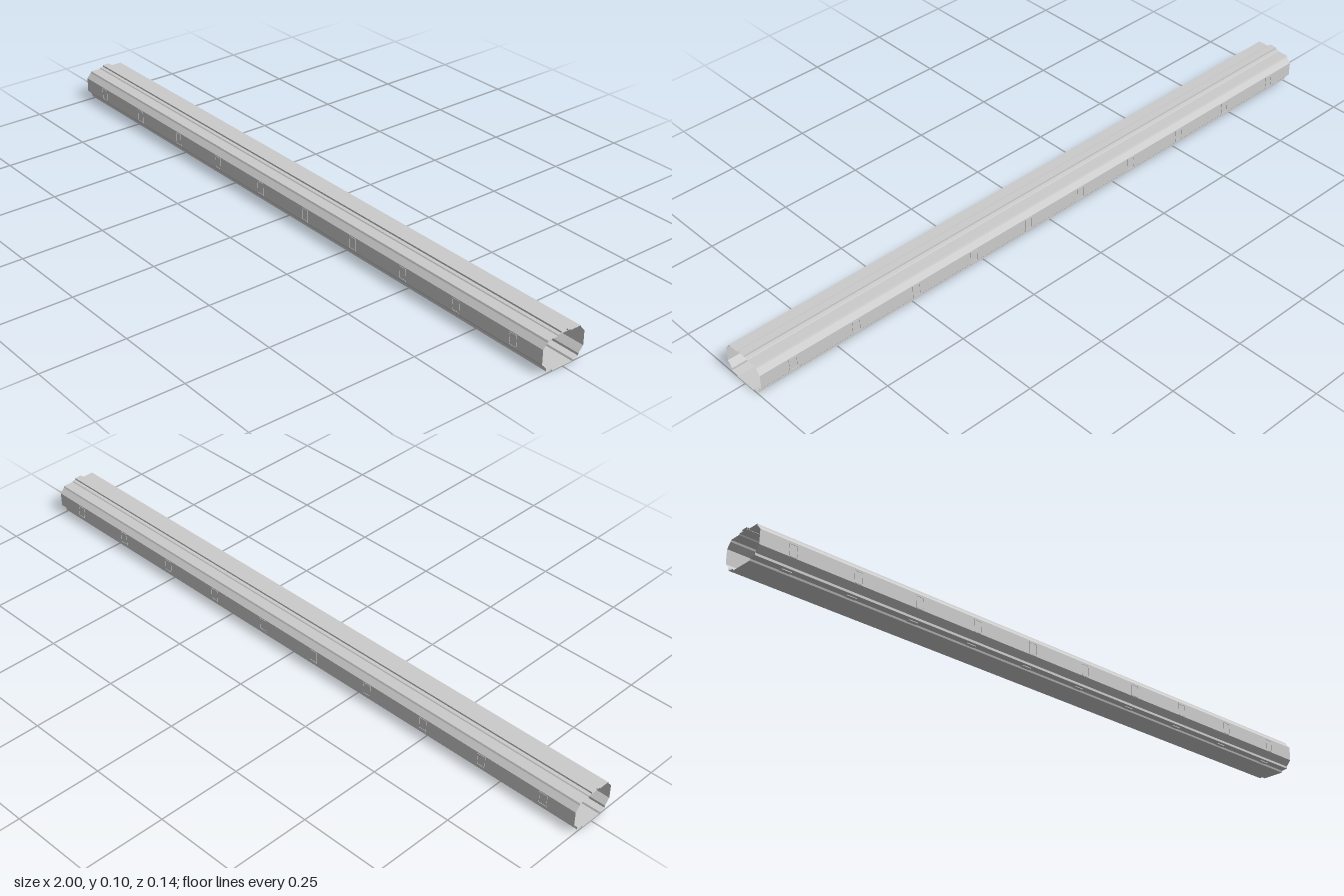
import * as THREE from 'three';

const LENGTH = 2;
const BAYS = 10;
const material = new THREE.MeshStandardMaterial({ color: 0xcccccc, flatShading: true, side: THREE.DoubleSide });

function add(group, name, geometry, x = 0, y = 0, z = 0) {
  const mesh = new THREE.Mesh(geometry, material);
  mesh.name = name;
  mesh.position.set(x, y, z);
  group.add(mesh);
  return mesh;
}

// Sweeps an open or closed [z, y] profile along x as a thin sheet
function sweep(profile) {
  const pos = [];
  const a = -LENGTH / 2, b = LENGTH / 2;
  for (let i = 0; i < profile.length - 1; i++) {
    const [z0, y0] = profile[i], [z1, y1] = profile[i + 1];
    pos.push(a, y0, z0, a, y1, z1, b, y1, z1, a, y0, z0, b, y1, z1, b, y0, z0);
  }
  const g = new THREE.BufferGeometry();
  g.setAttribute('position', new THREE.Float32BufferAttribute(pos, 3));
  g.computeVertexNormals();
  return g;
}

// Solid slice of a [z, y] outline, centred on x = 0
function slice(outline, width) {
  const shape = new THREE.Shape(outline.map(([z, y]) => new THREE.Vector2(-z, y)));
  const g = new THREE.ExtrudeGeometry(shape, { depth: width, bevelEnabled: false });
  g.translate(0, 0, -width / 2);
  g.rotateY(Math.PI / 2);
  return g;
}

export function createModel() {
  const model = new THREE.Group();
  model.name = 'corridor';

  // Outer side of one half of the section, from roof to floor
  const wall = [[0.04, 0.093], [0.055, 0.093], [0.057, 0.088], [0.07, 0.073],
    [0.07, 0.031], [0.055, 0.014], [0.055, 0.007]];
  // Inner edge of a rib, from floor to roof
  const ribInner = [[0.041, 0.007], [0.041, 0.014], [0.053, 0.026], [0.053, 0.036],
    [0.048, 0.043], [0.048, 0.056], [0.053, 0.064], [0.053, 0.074], [0.049, 0.08], [0.04, 0.088]];

  for (const side of [1, -1]) {
    const label = side > 0 ? 'front' : 'back';
    const mirror = (pts) => pts.map(([z, y]) => [z * side, y]);

    add(model, label + 'Wall', sweep(mirror(wall)));
    add(model, label + 'Roof', sweep(mirror([[0.011, 0.097], [0.02, 0.096], [0.022, 0.093], [0.04, 0.093]])));
    add(model, label + 'FloorEdge', sweep(mirror([[0.055, 0.007], [0.036, 0.005], [0.034, 0]])));

    // Ribs, feet and small wall frames, one set per bay
    const rib = slice(mirror([...wall, ...ribInner]), 0.025);
    for (let i = 0; i < BAYS; i++) {
      const x = -LENGTH / 2 + (i + 0.5) * LENGTH / BAYS;
      add(model, label + 'Rib', rib, x);
      add(model, label + 'RibFoot', new THREE.BoxGeometry(0.03, 0.003, 0.011), x, 0.0055, side * 0.041);

      for (const y of [0.034, 0.068]) {
        add(model, label + 'FrameBar', new THREE.BoxGeometry(0.026, 0.004, 0.002), x, y, side * 0.0702);
      }
      for (const dx of [-0.012, 0.012]) {
        add(model, label + 'FramePost', new THREE.BoxGeometry(0.002, 0.034, 0.002), x + dx, 0.051, side * 0.0702);
      }
    }
  }

  // Floor and the hollow duct on the ridge
  add(model, 'floor', sweep([[-0.034, 0], [0.034, 0]]));
  add(model, 'roofDuct', sweep([[-0.011, 0.096], [0.011, 0.096], [0.011, 0.102], [-0.011, 0.102], [-0.011, 0.096]]));

  // Ceiling lamps below the duct
  for (let i = 0; i < BAYS; i++) {
    add(model, 'ceilingLamp', new THREE.BoxGeometry(0.06, 0.002, 0.006), -0.9 + i * 0.2, 0.095, 0);
  }
  return model;
}
